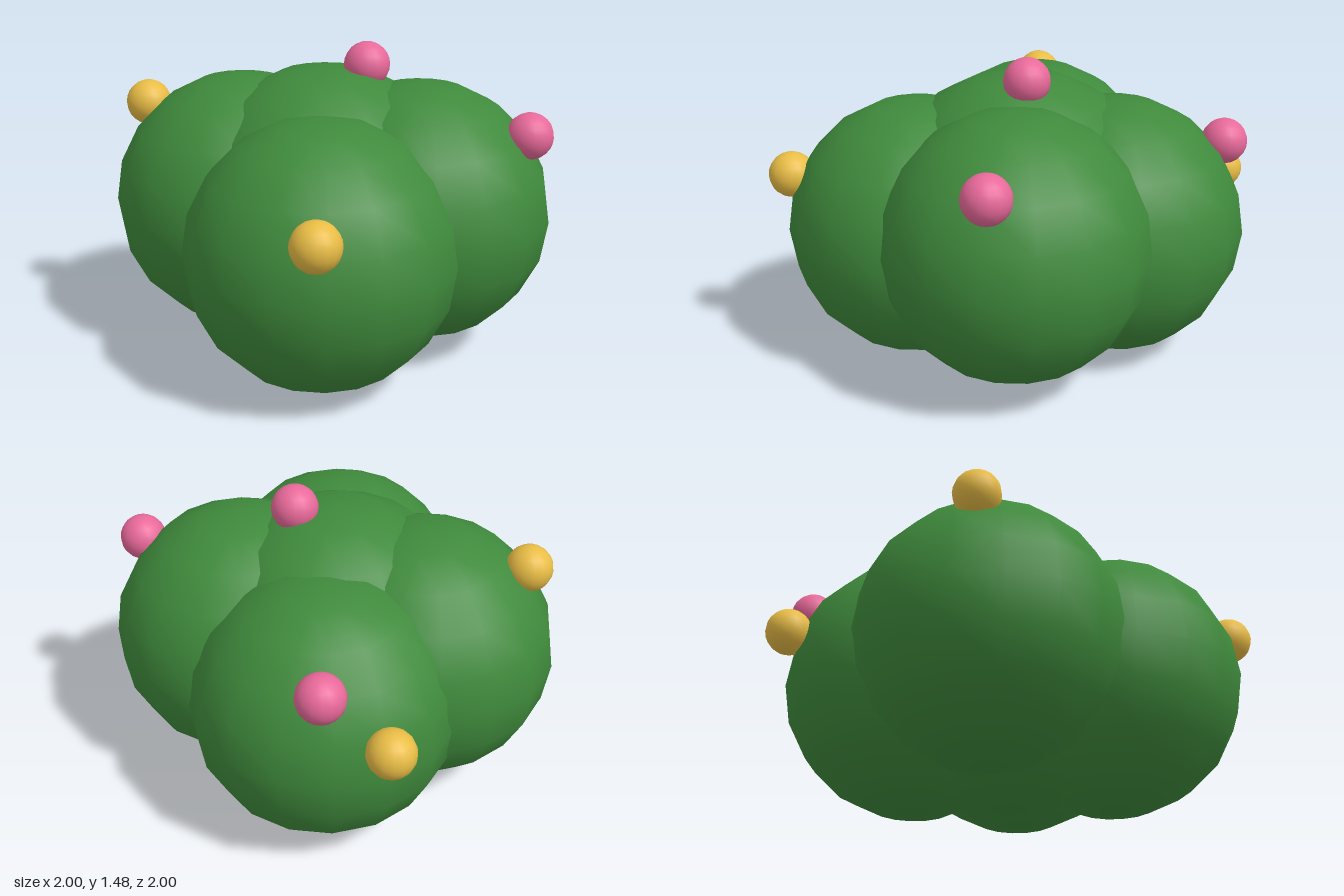
import * as THREE from 'three';

export function createModel() {
  const shrub = new THREE.Group();
  shrub.name = 'shrub';

  const green = new THREE.MeshStandardMaterial({ color: 0x3f8a3c });
  const pink = new THREE.MeshStandardMaterial({ color: 0xe8699a });
  const yellow = new THREE.MeshStandardMaterial({ color: 0xe8bc45 });

  const addBall = (name, radius, segments, rings, material, [x, y, z]) => {
    const ball = new THREE.Mesh(new THREE.SphereGeometry(radius, segments, rings), material);
    ball.name = name;
    ball.position.set(x, y, z);
    shrub.add(ball);
  };

  // Foliage: a large core with four overlapping lobes around it
  addBall('foliageCore', 0.6875, 16, 10, green, [0, 0.6875, 0]);
  const lobes = {
    foliageFront: [0.3125, 0.625, 0.375],
    foliageLeft: [0.375, 0.6875, -0.25],
    foliageBack: [-0.25, 0.625, -0.375],
    foliageRight: [-0.375, 0.6875, 0.1875],
  };
  for (const [name, position] of Object.entries(lobes)) {
    addBall(name, 0.625, 16, 10, green, position);
  }

  // Blossoms: small balls half sunk into the foliage
  const blossoms = [
    [pink, 0.135, 1.375, -0.138],
    [pink, 0.845, 1.095, -0.455],
    [pink, -0.585, 1.03, -0.78],
    [yellow, -0.77, 1.15, 0.44],
    [yellow, 0.7, 0.89, 0.83],
    [yellow, -0.845, 0.795, -0.64],
  ];
  for (const [material, ...position] of blossoms) {
    addBall(material === pink ? 'pinkBlossom' : 'yellowBlossom', 0.109, 16, 12, material, position);
  }

  return shrub;
}
